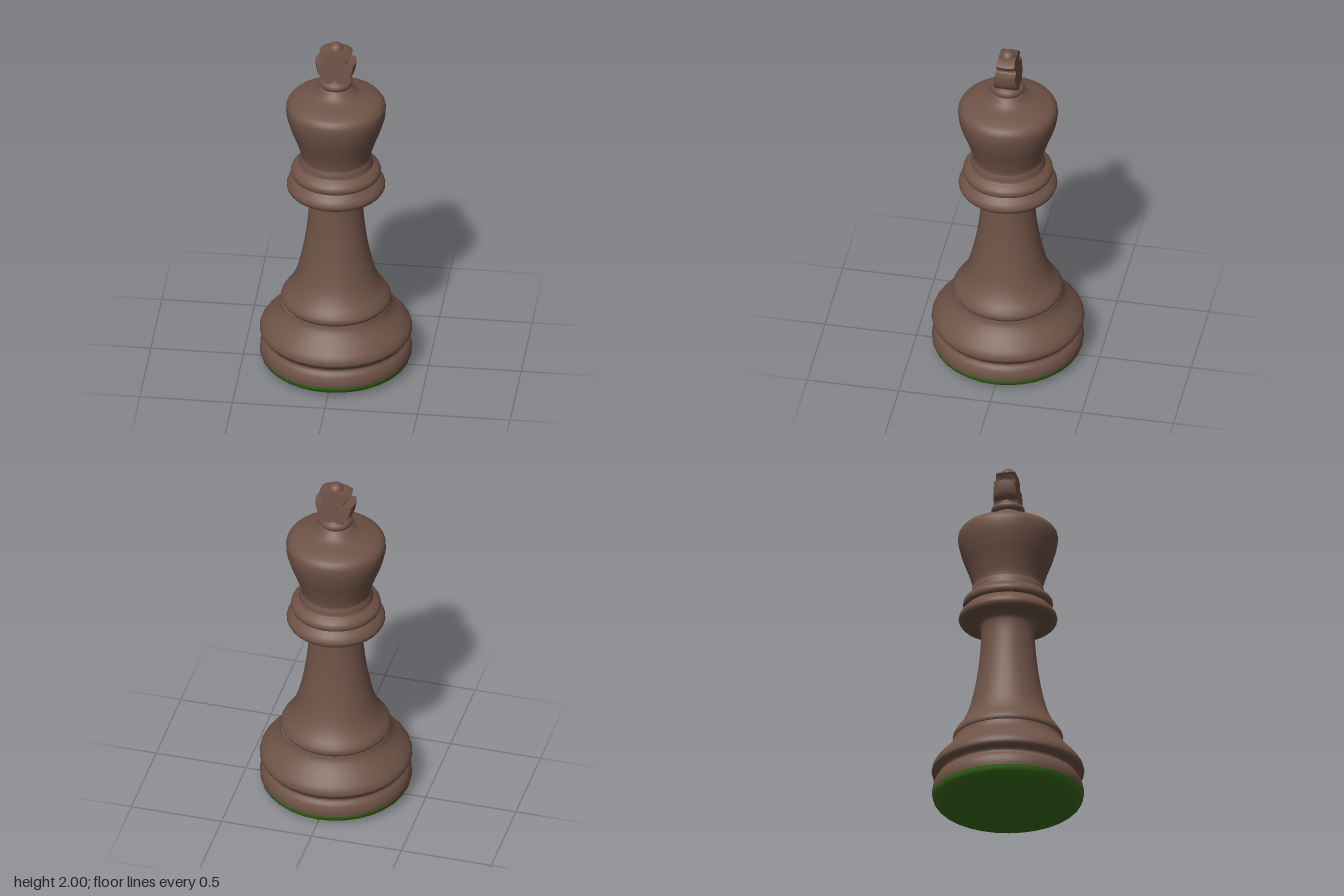
import * as THREE from 'three';
import { toCreasedNormals } from 'three/addons/utils/BufferGeometryUtils.js';

const wood = new THREE.MeshStandardMaterial({ color: 0x6f5347 });
const felt = new THREE.MeshStandardMaterial({ color: 0x3a6e1a });

// Turned part: a smooth curve through [radius, height] points, revolved in 32 sides
function turned(name, points, material = wood) {
  const curve = new THREE.SplineCurve(points.map(([r, y]) => new THREE.Vector2(r, y)));
  const profile = curve.getPoints((points.length - 1) * 4);
  profile.forEach((p) => { p.x = Math.max(p.x, 0); });
  const mesh = new THREE.Mesh(new THREE.LatheGeometry(profile, 32), material);
  mesh.name = name;
  return mesh;
}

// Cross: notched outline, rounded at the sides and tapering in depth towards the top
function makeCross() {
  const s = new THREE.Shape();
  s.moveTo(-0.06, 1.775);
  s.lineTo(0.06, 1.775);
  s.quadraticCurveTo(0.066, 1.795, 0.085, 1.805);
  s.quadraticCurveTo(0.107, 1.825, 0.11, 1.89);
  s.lineTo(0.078, 1.89);
  s.quadraticCurveTo(0.055, 1.893, 0.062, 1.91);
  s.lineTo(0.088, 1.942);
  s.quadraticCurveTo(0.065, 1.962, 0.03, 1.967);
  s.lineTo(-0.03, 1.967);
  s.quadraticCurveTo(-0.065, 1.962, -0.088, 1.942);
  s.lineTo(-0.062, 1.91);
  s.quadraticCurveTo(-0.055, 1.893, -0.078, 1.89);
  s.lineTo(-0.11, 1.89);
  s.quadraticCurveTo(-0.107, 1.825, -0.085, 1.805);
  s.quadraticCurveTo(-0.066, 1.795, -0.06, 1.775);

  const geo = new THREE.ExtrudeGeometry(s, { depth: 2, steps: 10, bevelEnabled: false, curveSegments: 6 });
  const pos = geo.attributes.position;
  for (let i = 0; i < pos.count; i++) {
    const y = pos.getY(i);
    const halfDepth = THREE.MathUtils.mapLinear(y, 1.79, 1.97, 0.066, 0.046);
    const z = (pos.getZ(i) - 1) * halfDepth;
    pos.setXYZ(i, pos.getX(i) * Math.sqrt(1 - (z / 0.12) ** 2), y, z);
  }
  const mesh = new THREE.Mesh(toCreasedNormals(geo, 0.6), wood);
  mesh.name = 'cross';
  return mesh;
}

export function createModel() {
  const group = new THREE.Group();
  group.name = 'chessKing';

  group.add(
    turned('feltPad', [[0, 0], [0.15, 0], [0.3, 0.003], [0.36, 0.015], [0.395, 0.04], [0.407, 0.07]], felt),
    // Foot with a groove between two rounded rings
    turned('foot', [[0.407, 0.07], [0.408, 0.1], [0.398, 0.135], [0.38, 0.16], [0.385, 0.178], [0.407, 0.2],
      [0.409, 0.222], [0.397, 0.25], [0.365, 0.288], [0.33, 0.325], [0.305, 0.36], [0.295, 0.39]]),
    turned('stem', [[0.285, 0.385], [0.295, 0.398], [0.295, 0.418], [0.28, 0.445], [0.25, 0.485], [0.22, 0.545],
      [0.195, 0.63], [0.172, 0.74], [0.155, 0.86], [0.145, 0.98], [0.146, 1.04], [0.155, 1.07], [0.18, 1.088]]),
    // Two stacked collar rings
    turned('lowerCollar', [[0.15, 1.085], [0.24, 1.085], [0.259, 1.095], [0.265, 1.115], [0.255, 1.14],
      [0.232, 1.165], [0.222, 1.175]]),
    turned('upperCollar', [[0.215, 1.17], [0.235, 1.18], [0.242, 1.198], [0.236, 1.218], [0.215, 1.238],
      [0.2, 1.25], [0.195, 1.275], [0.185, 1.305]]),
    turned('head', [[0.188, 1.29], [0.193, 1.325], [0.215, 1.395], [0.243, 1.47], [0.263, 1.54], [0.268, 1.59],
      [0.262, 1.618], [0.24, 1.643], [0.19, 1.665], [0.135, 1.683], [0.107, 1.7], [0.085, 1.722], [0.066, 1.736]]),
    turned('finialRing', [[0.06, 1.73], [0.08, 1.735], [0.09, 1.752], [0.084, 1.77], [0.068, 1.782],
      [0.062, 1.795], [0, 1.797]]),
    makeCross(),
  );

  // Small ball on top of the cross
  const ball = new THREE.Mesh(new THREE.SphereGeometry(0.042, 32, 16), wood);
  ball.name = 'topBall';
  ball.position.y = 1.958;
  group.add(ball);
  return group;
}
